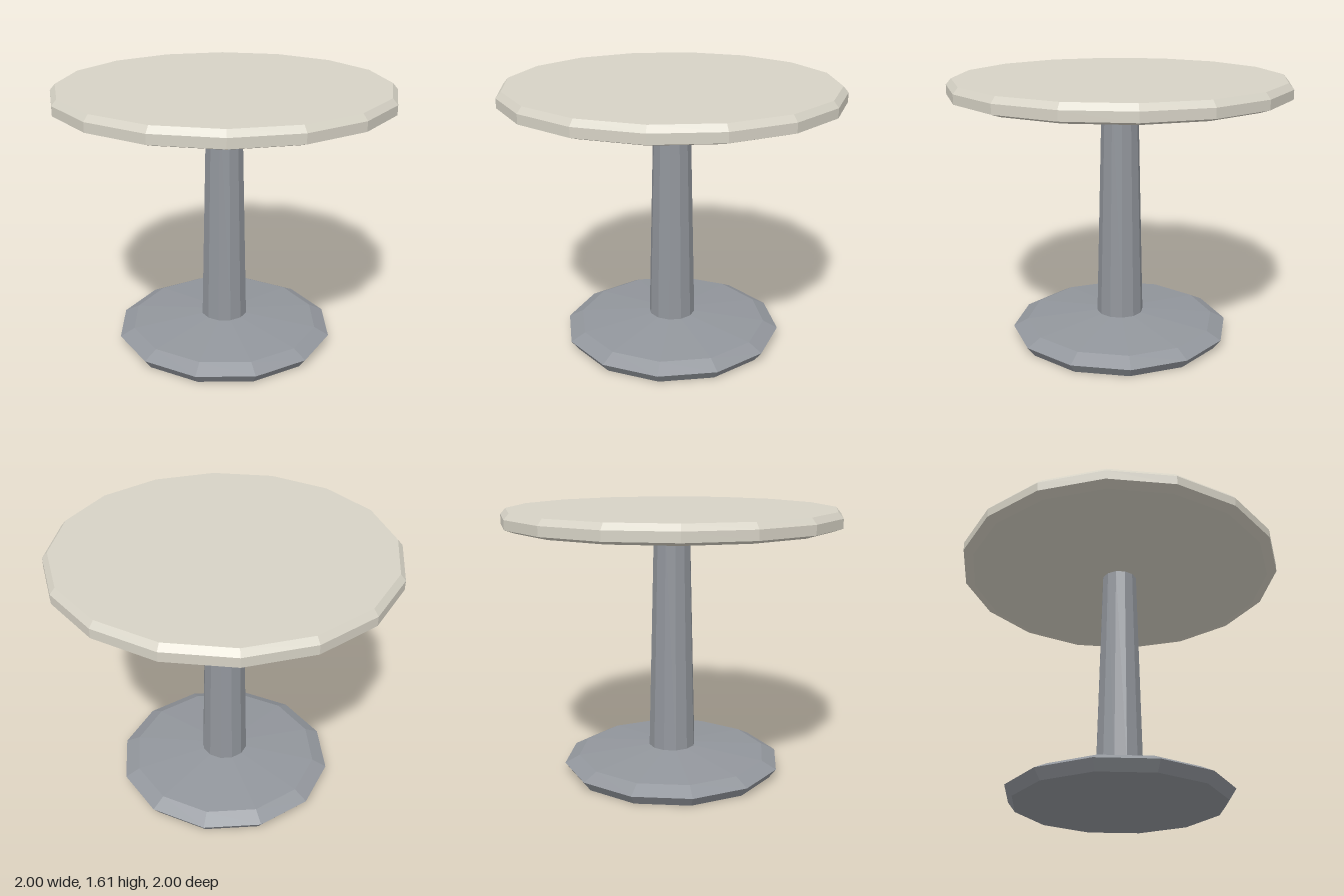
import * as THREE from 'three';

// Faceted turned part from [radius, height] pairs, listed bottom to top
function turned(name, profile, sides, material) {
  const points = profile.map(([r, y]) => new THREE.Vector2(r, y));
  const mesh = new THREE.Mesh(new THREE.LatheGeometry(points, sides), material);
  mesh.name = name;
  return mesh;
}

export function createModel() {
  const stone = new THREE.MeshStandardMaterial({ color: 0xd6d2c5, flatShading: true });
  stone.name = 'pale stone';
  const metal = new THREE.MeshStandardMaterial({ color: 0x92969c, flatShading: true });
  metal.name = 'grey metal';

  const table = new THREE.Group();
  table.name = 'pedestalTable';

  // Sixteen-sided top with bevelled edges
  table.add(turned('tableTop',
    [[0, 1.495], [0.94, 1.495], [1, 1.515], [1, 1.57], [0.97, 1.605], [0, 1.605]], 16, stone));

  // Tapered twelve-sided column
  table.add(turned('column', [[0.142, 0.14], [0.108, 1.5]], 12, metal));

  // Flared foot with a shallow sloping upper side
  table.add(turned('base',
    [[0, 0], [0.62, 0], [0.665, 0.06], [0.577, 0.105], [0.142, 0.148], [0, 0.148]], 12, metal));

  return table;
}
